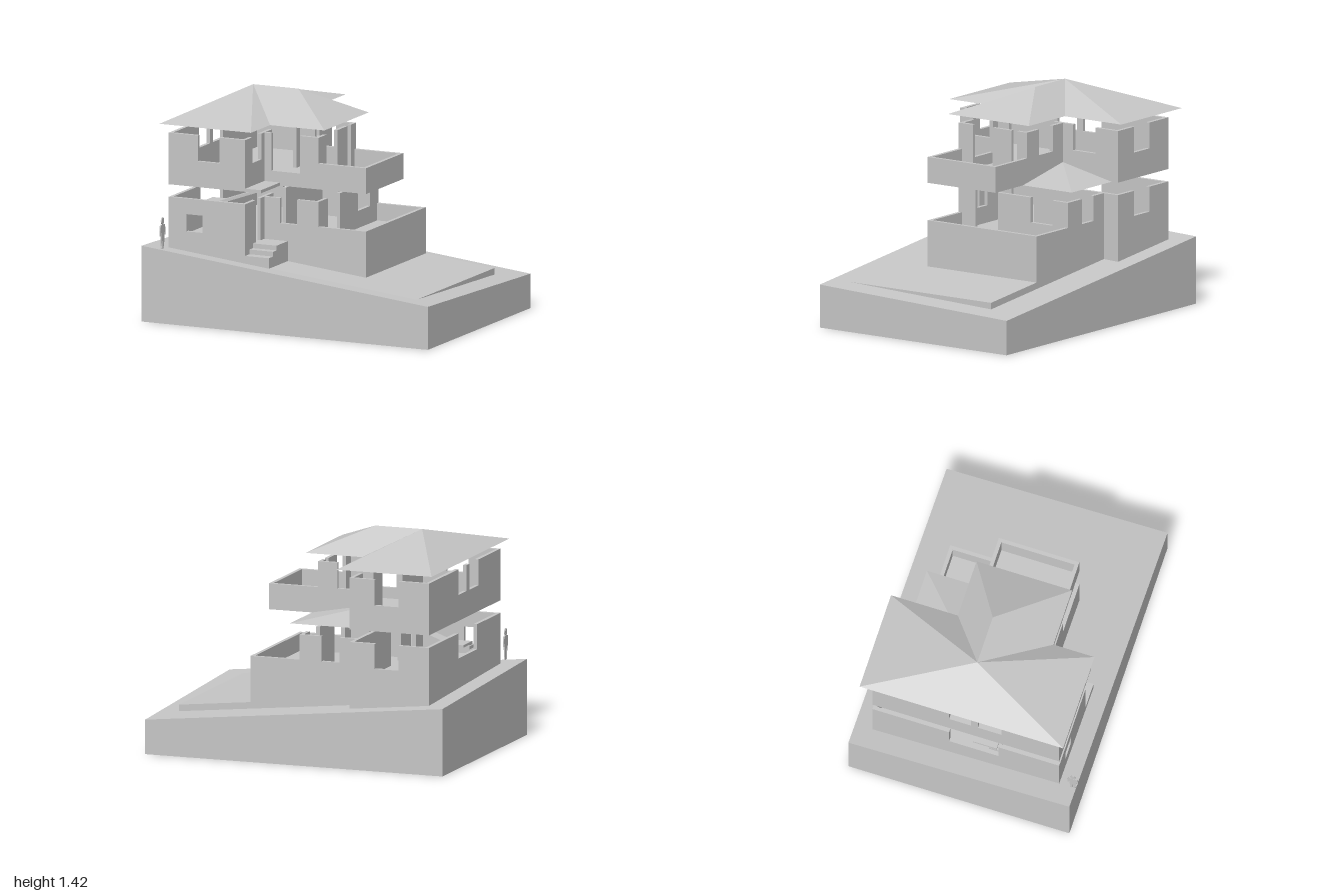
import * as THREE from 'three';

const T = 0.024; // wall thickness

export function createModel() {
  const house = new THREE.Group();
  house.name = 'house';
  const grey = new THREE.MeshStandardMaterial({ color: 0xc6c6c6 });
  grey.name = 'plaster grey';

  const add = (parent, name, geo) => {
    const mesh = new THREE.Mesh(geo, grey);
    mesh.name = name;
    parent.add(mesh);
    return mesh;
  };
  const group = (name) => {
    const g = new THREE.Group();
    g.name = name;
    house.add(g);
    return g;
  };
  const polygon = (pts) => new THREE.Shape(pts.map(([a, b]) => new THREE.Vector2(a, b)));
  const extrude = (shape, depth) =>
    new THREE.ExtrudeGeometry(shape, { depth, bevelEnabled: false, curveSegments: 8 });
  const box = (parent, name, x0, x1, y0, y1, z0, z1) =>
    add(parent, name, new THREE.BoxGeometry(x1 - x0, y1 - y0, z1 - z0)
      .translate((x0 + x1) / 2, (y0 + y1) / 2, (z0 + z1) / 2));
  const triangles = (tris) => {
    const geo = new THREE.BufferGeometry();
    geo.setAttribute('position', new THREE.Float32BufferAttribute(tris.flat(2), 3));
    geo.computeVertexNormals();
    return geo;
  };

  // Wall along x or z, starting at "at" on the other axis.
  // notches: [from, to, sill], open to the top; hole: [from, to, bottom, top]
  const wall = (parent, name, axis, from, to, at, y0, y1, notches = [], hole = null) => {
    const pts = [[from, y0], [to, y0], [to, y1]];
    for (const [a, b, sill] of [...notches].sort((p, q) => q[0] - p[0]))
      pts.push([b, y1], [b, sill], [a, sill], [a, y1]);
    pts.push([from, y1]);
    const shape = polygon(pts);
    if (hole) {
      const [a, b, c, d] = hole;
      shape.holes.push(polygon([[a, c], [a, d], [b, d], [b, c]]));
    }
    const geo = extrude(shape, T);
    if (axis === 'x') geo.translate(0, 0, at);
    else geo.rotateY(-Math.PI / 2).translate(at + T, 0, 0);
    return add(parent, name, geo);
  };

  // Flat floor of a footprint given in x, z
  const floor = (parent, name, pts, y0, y1) =>
    add(parent, name, extrude(polygon(pts.map(([x, z]) => [x, -z])), y1 - y0)
      .rotateX(-Math.PI / 2).translate(0, y0, 0));

  // Sloping ground block: falls to the right and to the back
  const ground = new THREE.BoxGeometry(2, 1, 1.455).translate(0, 0.5, -0.007);
  const p = ground.attributes.position;
  for (let i = 0; i < p.count; i++)
    if (p.getY(i) > 0.5) p.setY(i, 0.38 - 0.105 * p.getX(i) - 0.0378 * (0.72 - p.getZ(i)));
  ground.computeVertexNormals();
  add(house, 'ground', ground);

  // Yard slab, sloping in x only
  add(house, 'yard', extrude(
    polygon([[-0.33, 0.2], [0.86, 0.2], [0.86, 0.285], [-0.33, 0.41]]), 1.11).translate(0, 0, -0.51));

  // Lower storey
  const low = group('lowerStorey');
  const L0 = 0.31, L1 = 0.79, LS = 0.63;
  wall(low, 'frontWall', 'x', -0.865, -0.33, 0.61 - T, L0, L1, [], [-0.74, -0.63, 0.58, 0.69]);
  wall(low, 'backWall', 'x', -0.865, -0.33, -0.62, L0, L1, [[-0.66, -0.5, LS]]);
  wall(low, 'leftWall', 'z', -0.62, 0.61, -0.865, L0, L1, [[-0.115, 0.21, LS]]);
  wall(low, 'innerWall', 'z', -0.62, 0.61, -0.33 - T, L0, L1, [[0.035, 0.21, 0.52], [0.39, 0.46, 0.52]]);
  wall(low, 'middleFrontWall', 'x', -0.33, 0.05, 0.34 - T, L0, L1, [[-0.22, -0.1, LS]]);
  wall(low, 'middleBackWall', 'x', -0.33, 0.05, -0.51, L0, L1, [[-0.22, -0.1, LS]]);
  wall(low, 'terraceDoorWall', 'z', -0.51, 0.34, 0.05 - T, L0, L1, [[-0.39, -0.22, LS], [0.035, 0.21, 0.52]]);
  wall(low, 'terraceFrontParapet', 'x', 0.05, 0.38, 0.34 - T, L0, LS);
  wall(low, 'terraceBackParapet', 'x', 0.05, 0.38, -0.51, L0, LS);
  wall(low, 'terraceSideParapet', 'z', -0.51, 0.34, 0.38 - T, L0, LS);
  floor(low, 'lowerFloor', [[-0.86, 0.605], [-0.335, 0.605], [-0.335, 0.335], [0.375, 0.335],
    [0.375, -0.505], [-0.335, -0.505], [-0.335, -0.615], [-0.86, -0.615]], 0.49, 0.52);

  // Entrance steps
  [[0.5, 0.52], [0.55, 0.49], [0.61, 0.46]].forEach(([z, y], i) =>
    box(low, 'entranceStep' + (i + 1), -0.33, -0.165, 0.35, y, 0.335, z));

  // Inner staircase: two steps, then a flight rising to the right
  box(low, 'innerStep1', -0.84, -0.74, 0.64, 0.66, 0.14, 0.21);
  box(low, 'innerStep2', -0.84, -0.74, 0.665, 0.685, 0.14, 0.19);
  add(low, 'innerFlight', extrude(
    polygon([[-0.84, 0.67], [-0.74, 0.67], [-0.45, 0.775], [-0.5, 0.775], [-0.75, 0.685], [-0.84, 0.685]]),
    0.105).translate(0, 0, 0.035));

  // Upper storey
  const up = group('upperStorey');
  const U0 = 0.87, U1 = 1.2, US = 1.035;
  wall(up, 'frontWall', 'x', -0.865, -0.33, 0.61 - T, U0, U1, [[-0.66, -0.51, US]]);
  wall(up, 'backWall', 'x', -0.865, -0.33, -0.62, U0, U1, [[-0.66, -0.5, US]]);
  wall(up, 'leftWall', 'z', -0.62, 0.61, -0.865, U0, U1, [[-0.115, 0.03, US], [0.075, 0.23, US]]);
  wall(up, 'innerWall', 'z', -0.62, 0.61, -0.33 - T, U0, U1,
    [[-0.445, -0.27, US], [-0.115, 0.23, 0.89], [0.38, 0.51, US]]);
  wall(up, 'middleFrontWall', 'x', -0.33, 0.05, 0.34 - T, U0, U1, [[-0.28, -0.08, 0.96]]);
  wall(up, 'middleBackWall', 'x', -0.33, 0.05, -0.19, U0, U1, [[-0.225, -0.08, US]]);
  wall(up, 'balconyDoorWall', 'z', -0.19, 0.34, 0.05 - T, U0, U1, [[-0.115, -0.07, 0.89], [0.075, 0.23, 0.89]]);
  wall(up, 'balconyFrontParapet', 'x', 0.05, 0.38, 0.34 - T, U0, US);
  wall(up, 'balconyBackParapet', 'x', 0.05, 0.38, -0.19, U0, US);
  wall(up, 'balconySideParapet', 'z', -0.19, 0.34, 0.38 - T, U0, US);
  floor(up, 'upperFloor', [[-0.86, 0.605], [-0.335, 0.605], [-0.335, 0.335], [0.375, 0.335],
    [0.375, -0.185], [-0.335, -0.185], [-0.335, -0.615], [-0.86, -0.615]], U0, 0.89);
  box(up, 'entranceCanopy', -0.33, -0.22, U0, 0.89, 0.34, 0.61);

  // Lean-to hip roof over the back corner room
  const top = [-0.33, 0.95, -0.19], e0 = [-0.33, 0.87, -0.19], e1 = [-0.33, 0.87, -0.57];
  const e2 = [0.09, 0.87, -0.57], e3 = [0.09, 0.87, -0.19];
  add(house, 'leanToRoof', triangles([
    [top, e2, e1], [top, e3, e2], [top, e0, e3], [top, e1, e0], [e0, e1, e2], [e0, e2, e3]]));

  // Main hip roof with a side wing
  const Y = 1.26, apex = [-0.585, 1.42, -0.02], ridge = [-0.27, 1.42, -0.02], centre = [-0.585, Y, -0.02];
  const eaves = [[-0.91, -0.69], [-0.27, -0.69], [-0.27, -0.25], [0.11, -0.25],
    [0.11, 0.38], [-0.27, 0.38], [-0.27, 0.65], [-0.91, 0.65]].map(([x, z]) => [x, Y, z]);
  const ring = [...eaves.slice(0, 4), ridge, ...eaves.slice(4)];
  add(house, 'mainRoof', triangles([
    ...ring.map((a, i) => [apex, ring[(i + 1) % ring.length], a]),
    [ridge, eaves[4], eaves[3]],
    ...eaves.map((a, i) => [centre, a, eaves[(i + 1) % eaves.length]])]));

  // Flat standing figure for scale, facing sideways
  const half = [[0, 0.145], [0.008, 0.155], [0.012, 0.158], [0.03, 0.15], [0.035, 0.12], [0.034, 0.085],
    [0.027, 0.085], [0.024, 0.11], [0.02, 0.06], [0.016, 0.02], [0.018, 0], [0.004, 0], [0.003, 0.07]];
  const figure = group('figure');
  const body = [...half.slice(1), ...half.slice(1).reverse().map(([a, b]) => [-a, b])];
  add(figure, 'figureBody', extrude(polygon(body), 0.008).rotateY(-Math.PI / 2));
  add(figure, 'figureHead', new THREE.CylinderGeometry(0.016, 0.016, 0.008, 14)
    .rotateZ(Math.PI / 2).scale(1, 1.4, 1).translate(-0.004, 0.178, 0));
  figure.position.set(-0.86, 0.475, 0.7);

  return house;
}
